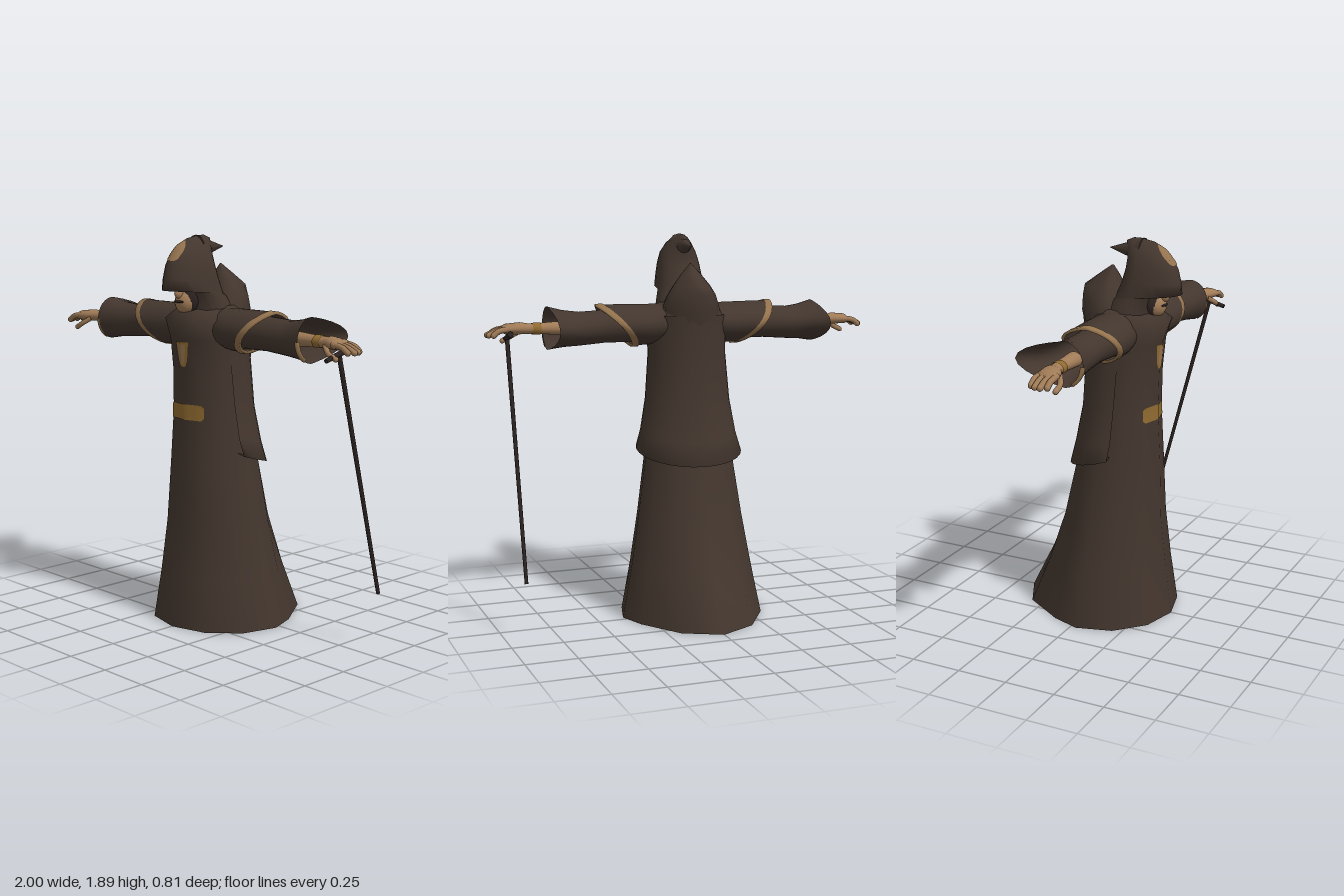
import * as THREE from 'three';
import { mergeGeometries } from 'three/addons/utils/BufferGeometryUtils.js';

const mat = (name, color) => new THREE.MeshStandardMaterial({ name, color, side: THREE.DoubleSide });
const V = (x, y, z) => new THREE.Vector3(x, y, z);

// Sheet through a grid of points; closed joins the last column to the first
function sheet(rows, closed = false, flip = false) {
  const n = rows[0].length, index = [];
  const pos = rows.flat().flatMap((p) => [p.x, p.y, p.z]);
  for (let i = 0; i < rows.length - 1; i++) {
    for (let j = 0; j < (closed ? n : n - 1); j++) {
      const k = (j + 1) % n, a = i * n + j, b = i * n + k, c = a + n, d = b + n;
      index.push(...(flip ? [a, c, b, b, c, d] : [a, b, c, b, d, c]));
    }
  }
  const g = new THREE.BufferGeometry();
  g.setAttribute('position', new THREE.Float32BufferAttribute(pos, 3));
  g.setIndex(index);
  g.computeVertexNormals();
  return g;
}

// Loft of egg-shaped rings. Row: [along, half width, front z, back z, middle z, cross centre, skew, back power, front power]
function loft(rows, { axis = 'y', from = 0, to = Math.PI * 2, seg = 24 } = {}) {
  const closed = to - from > 6.28;
  const grid = rows.map(([t, w, f, b, zc, c = 0, skew = 0, pow = 1, fpow = 1]) => {
    const ring = [];
    for (let j = 0; j < (closed ? seg : seg + 1); j++) {
      const a = from + (to - from) * j / seg, s = Math.sin(a), k = Math.cos(a);
      const z = k > 0 ? zc + (f - zc) * Math.pow(k, fpow) : zc - (zc - b) * Math.pow(-k, pow);
      ring.push(axis === 'y' ? V(c + w * s, t + skew * k, z) : V(t + skew * s, c + w * s, z));
    }
    return ring;
  });
  return sheet(grid, closed, axis === 'x');
}

// Thin plate lying on the faceted front of a lofted part; outline: [y, half width]
function patch(rows, seg, outline, gap = 0.005) {
  const step = Math.PI * 2 / seg;
  return sheet(outline.map(([y, h]) => {
    let i = 0;
    while (i < rows.length - 2 && rows[i + 1][0] < y) i++;
    const u = (y - rows[i][0]) / (rows[i + 1][0] - rows[i][0]);
    const [, w, f, , zc] = rows[i].map((v, k) => v + (rows[i + 1][k] - v) * u);
    return Array.from({ length: 9 }, (_, j) => {
      const x = h * (j / 4 - 1), s = Math.min(Math.abs(x / w), 0.99);
      const a = Math.floor(Math.asin(s) / step) * step, b = a + step;
      const k = THREE.MathUtils.mapLinear(s, Math.sin(a), Math.sin(b), Math.cos(a), Math.cos(b));
      return V(x, y, zc + (f - zc) * k + gap);
    });
  }));
}

function rod(a, b, r0, r1 = r0, sides = 8) {
  const d = b.clone().sub(a), g = new THREE.CylinderGeometry(r1, r0, d.length(), sides);
  g.applyQuaternion(new THREE.Quaternion().setFromUnitVectors(V(0, 1, 0), d.normalize()));
  const m = a.clone().add(b).multiplyScalar(0.5);
  return g.translate(m.x, m.y, m.z);
}

// Bent finger with a round tip
function finger(points, r) {
  const tip = points[points.length - 1];
  const tube = new THREE.TubeGeometry(new THREE.CatmullRomCurve3(points), 6, r, 8);
  return mergeGeometries([tube, new THREE.SphereGeometry(r, 8, 6).translate(tip.x, tip.y, tip.z)]);
}

function mirrored(geo) {
  const g = geo.clone().scale(-1, 1, 1), ix = g.index.array;
  for (let i = 0; i < ix.length; i += 3) [ix[i], ix[i + 1]] = [ix[i + 1], ix[i]];
  return g;
}

export function createModel() {
  const robe = mat('dark brown cloth', 0x43362e);
  const skin = mat('skin', 0xa07b57);
  const trim = mat('tan trim', 0x94734e);
  const gold = mat('old gold', 0x8f6a30);
  const dark = mat('dark wood', 0x2b2220);

  const model = new THREE.Group();
  model.name = 'robedFigure';
  const add = (name, geo, material, parent = model) => {
    const m = new THREE.Mesh(geo, material);
    m.name = name;
    parent.add(m);
  };

  // Robe with a trailing, pointed hem, closed at the neck
  const body = [
    [0, 0.368, 0.38, -0.41, 0.03, 0, 0, 1.65],
    [0.25, 0.318, 0.345, -0.285, 0.04, 0, 0, 1.5],
    [0.5, 0.274, 0.317, -0.185, 0.06, 0, 0, 1.25],
    [0.8, 0.226, 0.308, -0.11, 0.08, 0, 0, 1],
    [1.05, 0.205, 0.293, -0.07, 0.1, 0, 0, 1],
    [1.25, 0.193, 0.298, -0.065, 0.11, 0, 0, 1],
    [1.4, 0.2, 0.312, -0.06, 0.12, 0, 0, 1],
    [1.5, 0.2, 0.35, -0.07, 0.12, 0, 0, 1],
    [1.56, 0.135, 0.27, -0.03, 0.12, 0, 0, 1],
    [1.565, 0.002, 0.122, 0.118, 0.12, 0, 0, 1],
  ];
  add('robe', loft(body, { seg: 12 }), robe);

  // Cape over the back, with a lip under its hem
  add('cape', loft([
    [0.84, 0.22, 0.26, -0.1, 0.08, 0, 0.06],
    [0.83, 0.27, 0.28, -0.145, 0.08, 0, 0.06],
    [0.92, 0.243, 0.28, -0.12, 0.09, 0, 0.04],
    [1.08, 0.215, 0.27, -0.085, 0.1, 0, 0.02],
    [1.3, 0.196, 0.28, -0.072, 0.11],
    [1.5, 0.198, 0.28, -0.085, 0.12],
  ], { from: Math.PI * 0.4, to: Math.PI * 1.6, seg: 18 }), robe);

  // Tented cowl rising to a peak behind the hood
  add('cowl', loft([
    [1.4, 0.16, 0.2, -0.07, 0.1],
    [1.53, 0.145, 0.16, -0.1, 0.06],
    [1.6, 0.12, 0.13, -0.101, 0.04, 0, 0, 1.2],
    [1.645, 0.092, 0.1, -0.1, 0.04, 0, 0, 1.5],
    [1.7, 0.048, 0.08, -0.025, 0.045, 0, 0, 1.5],
    [1.75, 0.002, 0.055, 0.045, 0.05],
  ], { seg: 16 }), robe);

  // Hood with an overhanging brow and a swept-back tip
  const hood = [
    [1.5, 0.15, 0.28, 0, 0.14, 0, 0],
    [1.615, 0.122, 0.29, 0.06, 0.17, 0, 0.02],
    [1.625, 0.118, 0.405, 0.08, 0.19, 0, 0.012],
    [1.69, 0.11, 0.4, 0.112, 0.2, 0, 0],
    [1.75, 0.1, 0.385, 0.13, 0.21, 0, 0],
    [1.8, 0.086, 0.36, 0.135, 0.22, 0, 0],
    [1.845, 0.058, 0.318, 0.125, 0.22, 0, 0],
    [1.875, 0.028, 0.268, 0.125, 0.2, 0, 0],
    [1.89, 0.002, 0.2, 0.16, 0.18, 0, 0],
  ];
  add('hood', loft(hood), robe);
  const tip = new THREE.ConeGeometry(0.06, 0.18, 12).rotateX(-Math.PI / 2);
  add('hoodTip', tip.translate(0, 1.832, 0.12), robe);
  add('hoodPlate', patch(hood, 24, [[1.775, 0.022], [1.785, 0.036], [1.82, 0.04], [1.845, 0.032], [1.868, 0.006]]), trim);

  // Shadowed face under the brow
  const ball = (rx, ry, rz, y, z) => new THREE.SphereGeometry(1, 16, 10).scale(rx, ry, rz).translate(0, y, z);
  add('faceShadow', ball(0.075, 0.075, 0.05, 1.585, 0.26), dark);
  add('jaw', ball(0.062, 0.06, 0.06, 1.577, 0.268), skin);
  add('nose', ball(0.016, 0.025, 0.025, 1.622, 0.322), skin);
  add('mouth', ball(0.032, 0.007, 0.012, 1.582, 0.32), dark);

  // Plates on the chest and belt
  add('chestPlateRim', patch(body, 12, [[1.27, 0.016], [1.3, 0.03], [1.39, 0.043]], 0.004), gold);
  add('chestPlate', patch(body, 12, [[1.28, 0.009], [1.303, 0.019], [1.38, 0.029]], 0.007), trim);
  add('beltPlate', patch(body, 12, [[1.015, 0.1], [1.027, 0.11], [1.078, 0.11], [1.09, 0.1]], 0.004), gold);

  // Arm parts, built on the left and mirrored
  const along = { axis: 'x' };
  const edge = (t, grow) => [t, 0.104 + grow, 0.26 + grow, -0.025 - grow, 0.14, 1.45, 0.09, 1.5, 1.35];
  const cuff = [0.7, 0.105, 0.25, -0.09, 0.16, 1.445, 0, 1.7, 1.1];
  const armParts = [
    ['sleeve', loft([
      [0.14, 0.1, 0.24, 0, 0.12, 1.45],
      [0.3, 0.085, 0.23, 0.03, 0.13, 1.452],
      [0.42, 0.08, 0.22, 0.035, 0.13, 1.448],
      [0.55, 0.082, 0.225, 0.02, 0.13, 1.44, 0, 1.1],
      [0.63, 0.09, 0.235, -0.02, 0.145, 1.442, 0, 1.4],
      cuff,
    ], along), robe],
    ['cuffTrim', loft([
      [0.686, 0.106, 0.253, -0.08, 0.16, 1.445, 0, 1.7, 1.1],
      [0.702, 0.108, 0.254, -0.08, 0.16, 1.445, 0, 1.7, 1.1],
      [0.702, 0.092, 0.236, -0.07, 0.16, 1.445, 0, 1.7, 1.1],
    ], { axis: 'x', from: -1.1, to: 0, seg: 8 }), trim],
    ['shoulderCape', loft([
      [0.1, 0.09, 0.24, -0.02, 0.13, 1.46],
      [0.22, 0.1, 0.26, -0.02, 0.135, 1.452, 0.02],
      edge(0.37, 0),
    ], along), robe],
    ['shoulderTrim', loft([edge(0.336, 0.004), edge(0.372, 0.003), edge(0.37, -0.012)], along), trim],
    ['hand', loft([
      [0.6, 0.035, 0.195, 0.115, 0.155, 1.445],
      [0.78, 0.024, 0.187, 0.13, 0.157, 1.445],
      [0.83, 0.029, 0.215, 0.125, 0.17, 1.448],
      [0.9, 0.025, 0.235, 0.125, 0.18, 1.445],
      [0.93, 0.002, 0.19, 0.17, 0.18, 1.438],
    ], along), skin],
    ['wristBand', loft([
      [0.735, 0.03, 0.195, 0.121, 0.157, 1.445],
      [0.775, 0.028, 0.193, 0.124, 0.157, 1.445],
    ], along), gold],
    ['thumb', finger([V(0.82, 1.435, 0.2), V(0.865, 1.405, 0.226), V(0.905, 1.385, 0.224)], 0.013), skin],
  ];
  [0.14, 0.167, 0.194, 0.22].forEach((z, i) => {
    const reach = [0.965, 0.982, 0.986, 0.97][i];
    armParts.push(['finger' + (i + 1), finger([V(0.88, 1.448, z), V(0.94, 1.438, z), V(reach, 1.418, z)], 0.0142), skin]);
  });
  const left = new THREE.Group(), right = new THREE.Group();
  left.name = 'leftArm';
  right.name = 'rightArm';
  model.add(left, right);
  for (const [name, geo, material] of armParts) {
    add(name, geo, material, left);
    add(name, mirrored(geo), material, right);
  }

  // Walking cane under the left hand
  const cane = new THREE.Group();
  cane.name = 'cane';
  model.add(cane);
  add('shaft', rod(V(0.89, 0.26, -0.11), V(0.89, 1.4, 0.185), 0.009, 0.011), dark, cane);
  add('handle', rod(V(0.89, 1.38, 0.27), V(0.89, 1.425, 0.11), 0.011, 0.015), dark, cane);
  return model;
}
